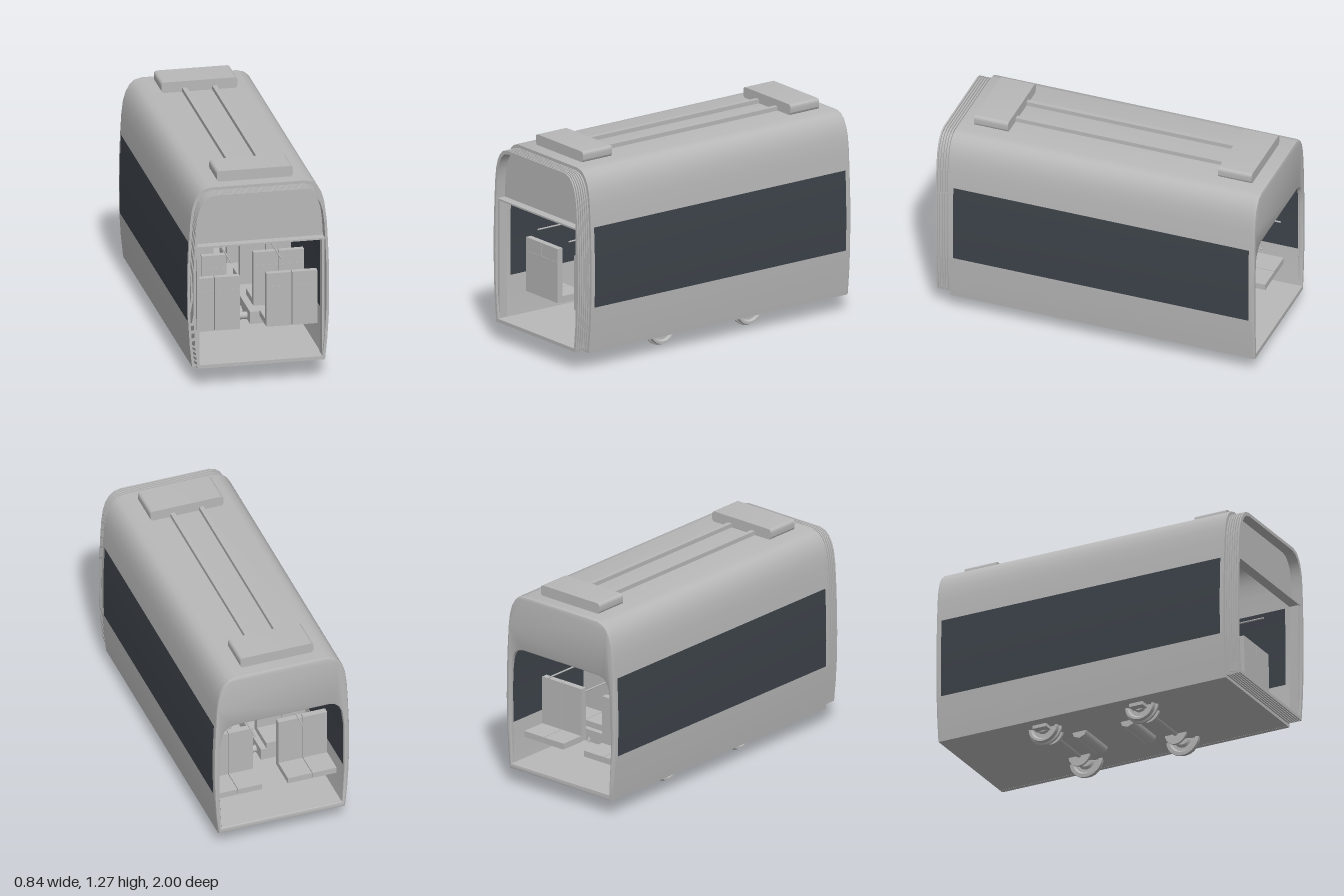
import * as THREE from 'three';
import { toCreasedNormals } from 'three/addons/utils/BufferGeometryUtils.js';

export function createModel() {
  const model = new THREE.Group();
  const grey = new THREE.MeshStandardMaterial({ color: 0xb8b8b8 });
  grey.name = 'body grey';
  const dark = new THREE.MeshStandardMaterial({ color: 0x3d434a });
  dark.name = 'window dark';

  const add = (name, geometry, x = 0, y = 0, z = 0, material = grey, parent = model) => {
    const mesh = new THREE.Mesh(geometry, material);
    mesh.name = name;
    mesh.position.set(x, y, z);
    parent.add(mesh);
    return mesh;
  };
  // box given by its limits
  const box = (name, x0, x1, y0, y1, z0, z1, material = grey, parent = model) =>
    add(name, new THREE.BoxGeometry(x1 - x0, y1 - y0, z1 - z0),
      (x0 + x1) / 2, (y0 + y1) / 2, (z0 + z1) / 2, material, parent);
  // cylinder lying along x
  const bar = (name, r, length, x, y, z, sides = 24) => {
    const g = new THREE.CylinderGeometry(r, r, length, sides);
    return add(name, g.rotateZ(Math.PI / 2), x, y, z);
  };
  const toShape = pts => new THREE.Shape(pts.map(p => new THREE.Vector2(p[0], p[1])));
  // flat outline extruded from z0 to z1
  const extrude = (name, shape, z0, z1, material = grey) => {
    const g = new THREE.ExtrudeGeometry(shape, { depth: z1 - z0, bevelEnabled: false });
    return add(name, toCreasedNormals(g, 0.5), 0, 0, z0, material);
  };
  const mirror = pts => pts.map(([x, y]) => [-x, y]);

  // half cross-section of the body, from sill to roof
  const lower = [[0.395, 0.105], [0.409, 0.24], [0.418, 0.385]];
  const middle = [[0.418, 0.385], [0.421, 0.55], [0.42, 0.7], [0.413, 0.875]];
  const upper = [[0.413, 0.875], [0.406, 1.0], [0.396, 1.08], [0.38, 1.135],
    [0.358, 1.175], [0.328, 1.203], [0.285, 1.215]];
  const half = [...lower, ...middle.slice(1), ...upper.slice(1)];
  const inset = pts => pts.map(([x, y]) => [x - 0.025, y > 0.9 ? y - 0.025 * (y - 0.9) / 0.315 : y]);
  const outline = k => [...half, ...mirror(half).reverse()]
    .map(([x, y]) => [x * k, 0.665 + (y - 0.665) * k]);

  // side walls with the long window set in
  const wall = (pts, s) => toShape([...pts, ...inset(pts).reverse()].map(([x, y]) => [x * s, y]));
  for (const s of [-1, 1]) {
    extrude('lowerWall', wall(lower, s), -0.985, 0.91);
    extrude('rearPillar', wall(middle, s), -0.985, -0.965);
    extrude('sideWindow', wall(middle, s), -0.965, 0.885, dark);
    extrude('frontPillar', wall(middle, s), 0.885, 0.91);
  }

  // roof shell and floor
  const roofIn = inset(upper);
  extrude('roof', toShape([...upper, ...mirror(upper).reverse(),
    ...mirror(roofIn), ...roofIn.slice().reverse()]), -0.985, 0.91);
  box('floor', -0.394, 0.394, 0.106, 0.14, -0.985, 0.91);

  // rear end wall with a round-cornered opening
  const rear = toShape(outline(1));
  const opening = [[0.375, 0.14], [0.388, 0.4], [0.386, 0.7], [0.373, 0.8], [0.355, 0.84],
    [0.33, 0.862], [0.295, 0.872]];
  rear.holes.push(toShape([...opening, ...mirror(opening).reverse()]));
  const rearGeo = new THREE.ExtrudeGeometry(rear, {
    depth: 0.01, bevelThickness: 0.01, bevelSize: 0.01, bevelOffset: -0.01, bevelSegments: 2 });
  add('rearWall', toCreasedNormals(rearGeo, 0.6), 0, 0, -0.99);

  // ribbed gangway bellows at the front
  const frame = k => {
    const shape = toShape(outline(k));
    shape.holes.push(toShape(outline(0.93)));
    return shape;
  };
  extrude('bellowsSleeve', frame(0.948), 0.9, 0.998);
  for (let i = 0; i < 6; i++) {
    const z = 0.912 + i * 0.0156;
    extrude('bellowsRib', frame(0.967), z, z + 0.009);
  }

  // front portal: header, ledge and door posts
  const head = half.map(([x, y]) => [x * 0.93, 0.665 + (y - 0.665) * 0.93]).filter(p => p[1] > 0.86);
  head[0][1] = 0.87;
  extrude('frontHeader', toShape([...head, ...mirror(head).reverse()]), 0.925, 0.935);
  box('headerLedge', -0.383, 0.383, 0.868, 0.878, 0.93, 0.99);
  for (const s of [-1, 1]) {
    box('doorPost', s * 0.374 - 0.007, s * 0.374 + 0.007, 0.14, 0.87, 0.93, 0.985);
  }

  // roof units with rounded sides, joined by two rails
  const unit = new THREE.Shape();
  unit.moveTo(-0.205, 1.213).lineTo(0.205, 1.213).quadraticCurveTo(0.228, 1.215, 0.228, 1.236)
    .lineTo(0.228, 1.258).quadraticCurveTo(0.228, 1.28, 0.205, 1.28)
    .lineTo(-0.205, 1.28).quadraticCurveTo(-0.228, 1.28, -0.228, 1.258)
    .lineTo(-0.228, 1.236).quadraticCurveTo(-0.228, 1.215, -0.205, 1.213);
  extrude('roofUnit', unit, 0.613, 0.825);
  extrude('roofUnit', unit, -0.912, -0.702);
  for (const s of [-1, 1]) {
    box('roofRail', s * 0.09 - 0.014, s * 0.09 + 0.014, 1.213, 1.24, -0.702, 0.613);
  }

  // rows of paired seats facing the rear
  for (let row = 0; row < 5; row++) {
    const z = 0.76 - row * 0.365;
    for (const x of [-0.309, -0.155, 0.155, 0.309]) {
      const seat = new THREE.Group();
      seat.name = 'seat';
      seat.position.set(x, 0, z);
      model.add(seat);
      box('seatBack', -0.075, 0.075, 0.27, 0.52, -0.02, 0.02, grey, seat);
      box('headrest', -0.075, 0.075, 0.52, 0.6, -0.02, 0.018, grey, seat);
      box('cushion', -0.075, 0.075, 0.268, 0.305, -0.18, -0.02, grey, seat);
    }
  }
  for (const s of [-1, 1]) {
    box('bogieCover', s * 0.225 - 0.155, s * 0.225 + 0.155, 0.138, 0.215, -0.45, 0.37);
  }

  // hanging sign and grab rails
  box('signCase', -0.11, 0.11, 0.767, 0.842, 0.28, 0.31);
  box('signFace', -0.102, 0.102, 0.773, 0.836, 0.31, 0.313, dark);
  add('signRod', new THREE.CylinderGeometry(0.005, 0.005, 0.35, 8), 0, 1.016, 0.295);
  for (const s of [-1, 1]) {
    const g = new THREE.CylinderGeometry(0.005, 0.005, 1.82, 8).rotateX(Math.PI / 2);
    add('grabRail', g, s * 0.15, 0.72, -0.04);
  }

  // wheelsets: flanged wheels, axle, brake discs and axle boxes
  const wheelProfile = [[0, -0.022], [0.04, -0.022], [0.055, -0.01], [0.075, -0.01], [0.085, -0.022],
    [0.107, -0.02], [0.107, -0.008], [0.097, -0.002], [0.094, 0.022], [0.08, 0.022],
    [0.07, 0.008], [0.045, 0.008], [0.035, 0.022], [0, 0.022]].map(p => new THREE.Vector2(...p));
  for (const z of [0.28, -0.36]) {
    bar('axle', 0.016, 0.56, 0, 0.11, z, 16);
    bar('gearTube', 0.022, 0.3, 0, 0.163, z, 16);
    for (const s of [-1, 1]) {
      const g = toCreasedNormals(new THREE.LatheGeometry(wheelProfile, 32), 0.5);
      add('wheel', g, s * 0.267, 0.112, z).rotation.z = -s * Math.PI / 2;
      bar('brakeDisc', 0.07, 0.014, s * 0.168, 0.112, z);
      box('axleBox', s * 0.298 - 0.035, s * 0.298 + 0.035, 0.085, 0.258, z - 0.045, z + 0.045);
    }
  }
  for (const z of [0.12, -0.2]) bar('underfloorTank', 0.05, 0.27, 0, 0.115, z, 8);

  return model;
}
